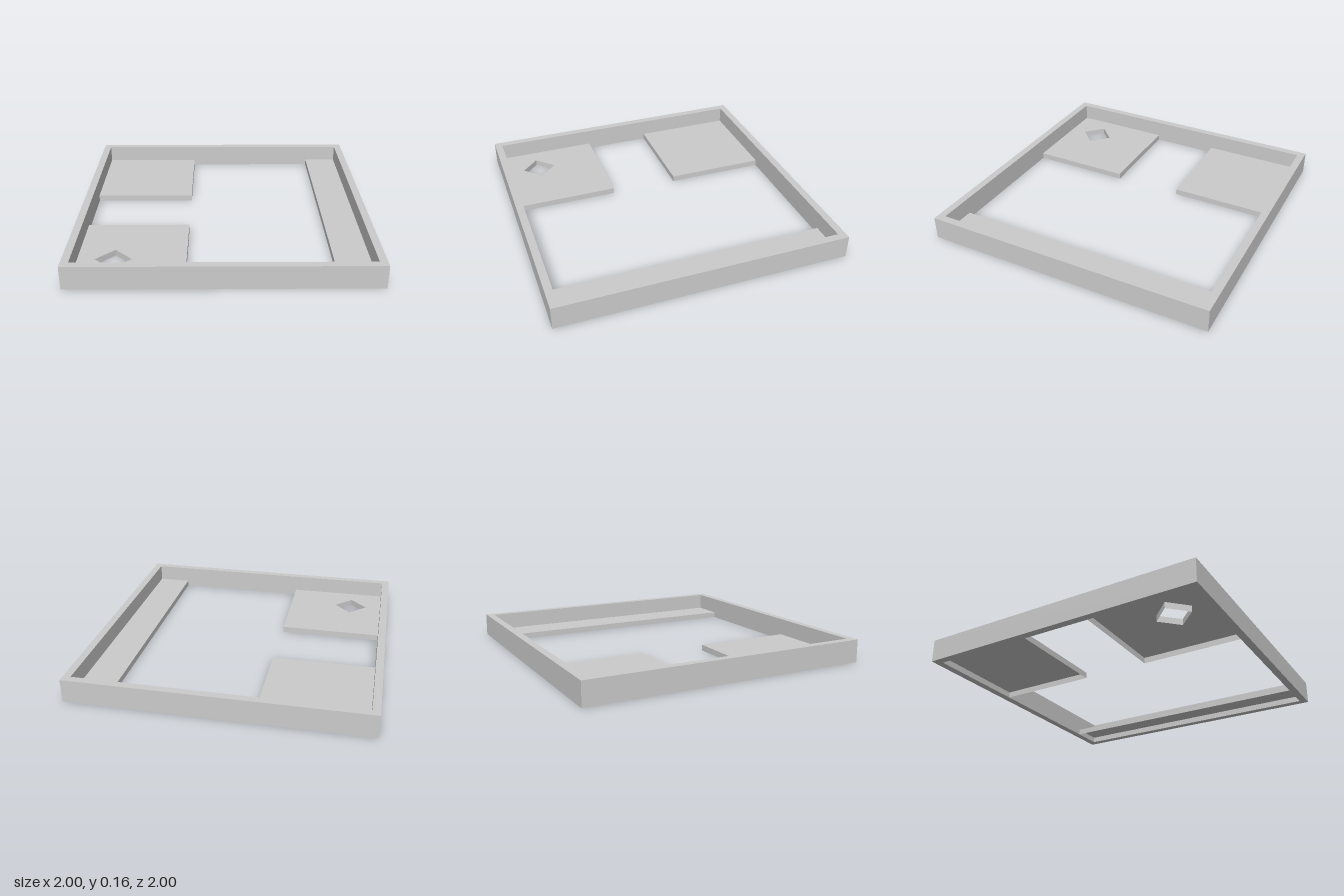
import * as THREE from 'three';
import { mergeGeometries } from 'three/addons/utils/BufferGeometryUtils.js';

const HEIGHT = 0.16, PANEL = 0.042, INNER = 0.948, EDGE = 0.24;

const solid = new THREE.MeshStandardMaterial({ color: 0xcccccc });
const sheet = new THREE.MeshStandardMaterial({ color: 0xcccccc, side: THREE.DoubleSide });

// corners are [x, z] pairs; plan shapes use y = -z so that they lie face up
const toPlan = (corners) => corners.map(([x, z]) => new THREE.Vector2(x, -z));
const rect = (x0, z0, x1, z1) => [[x0, z1], [x1, z1], [x1, z0], [x0, z0]];

// upright strip from the ground to the panel top, between two plan points
function skirt([x0, z0], [x1, z1]) {
  const g = new THREE.PlaneGeometry(Math.hypot(x1 - x0, z1 - z0), PANEL);
  g.rotateY(-Math.atan2(z1 - z0, x1 - x0));
  return g.translate((x0 + x1) / 2, PANEL / 2, (z0 + z1) / 2);
}

// thin panel, open underneath, with skirts on its free edges and around a hole
function panel(name, corners, freeEdges, hole) {
  const shape = new THREE.Shape(toPlan(corners));
  if (hole) shape.holes.push(new THREE.Path(toPlan(hole)));
  const top = new THREE.ShapeGeometry(shape).rotateX(-Math.PI / 2).translate(0, PANEL, 0);
  const parts = [top, ...freeEdges.map(([a, b]) => skirt(a, b))];
  if (hole) hole.forEach((p, i) => parts.push(skirt(p, hole[(i + 1) % hole.length])));
  const mesh = new THREE.Mesh(mergeGeometries(parts), sheet);
  mesh.name = name;
  return mesh;
}

export function createModel() {
  const model = new THREE.Group();
  model.name = 'trayFrame';

  // square rim
  const outline = new THREE.Shape(toPlan(rect(-1, -1, 1, 1)));
  outline.holes.push(new THREE.Path(toPlan(rect(-INNER, -INNER, INNER, INNER))));
  const rimGeometry = new THREE.ExtrudeGeometry(outline, { depth: HEIGHT, bevelEnabled: false });
  const rim = new THREE.Mesh(rimGeometry.rotateX(-Math.PI / 2), solid);
  rim.name = 'rim';
  model.add(rim);

  // two square corner panels, the front one with a diamond hole
  const cx = -0.714, cz = 0.711, r = 0.12;
  const diamond = [[cx - r, cz], [cx, cz - r], [cx + r, cz], [cx, cz + r]];
  for (const s of [-1, 1]) {
    const corner = [-EDGE, s * EDGE];
    const corners = rect(-INNER, Math.min(s * INNER, s * EDGE), -EDGE, Math.max(s * INNER, s * EDGE));
    const free = [[[-INNER, s * EDGE], corner], [corner, [-EDGE, s * INNER]]];
    model.add(panel(s > 0 ? 'frontCornerPanel' : 'backCornerPanel', corners, free, s > 0 ? diamond : null));
  }

  // long side panel
  model.add(panel('sidePanel', rect(0.711, -INNER, INNER, INNER), [[[0.711, -INNER], [0.711, INNER]]]));

  return model;
}
